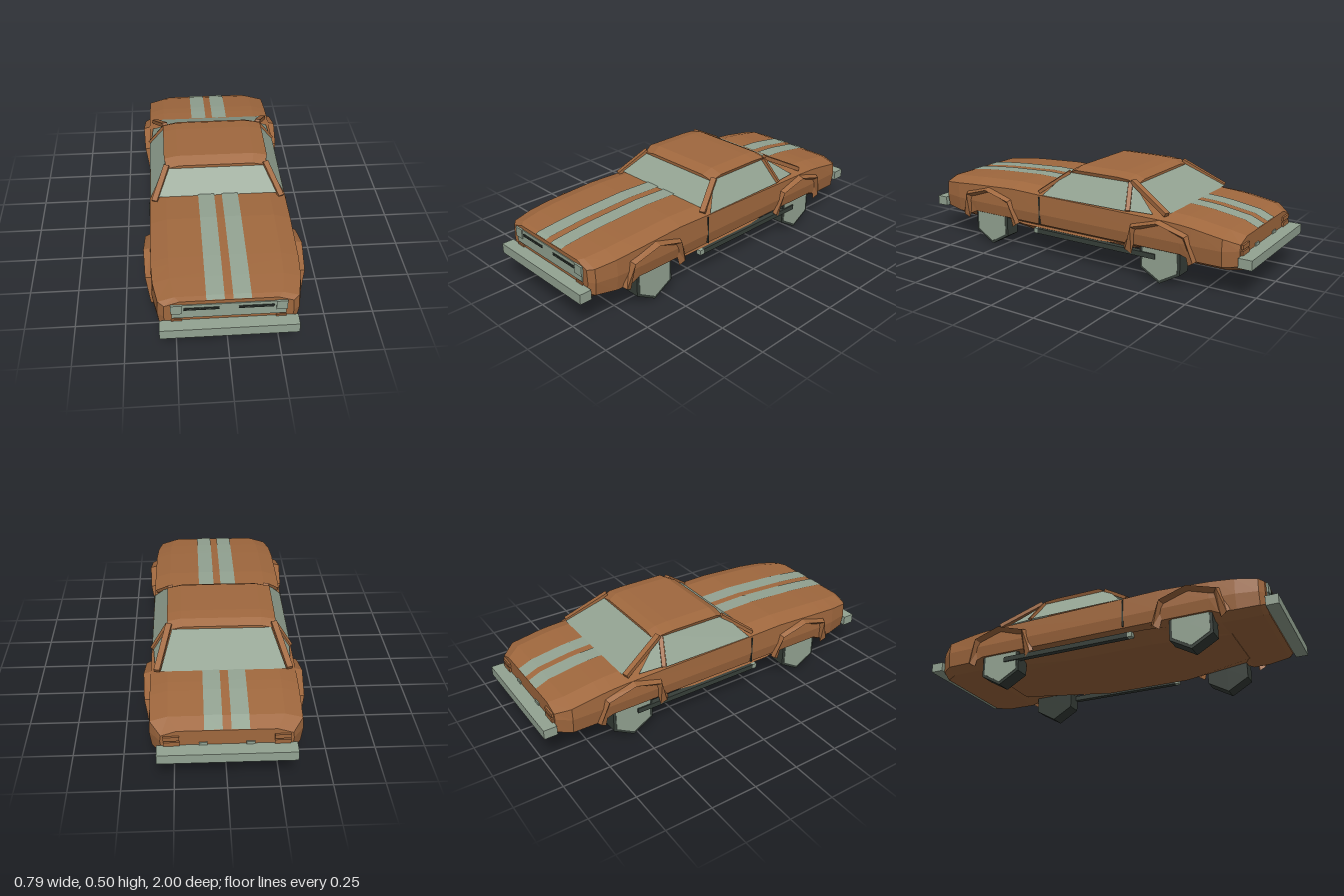
import * as THREE from 'three';

const mat = (name, color) =>
  Object.assign(new THREE.MeshStandardMaterial({ color, flatShading: true, side: THREE.DoubleSide }), { name });

export function createModel() {
  const car = new THREE.Group();
  car.name = 'car';
  const paint = mat('copperPaint', 0xa0683e);
  const pale = mat('paleGreyGreen', 0x93a392);
  const dark = mat('darkRubber', 0x373f39);

  const add = (name, geometry, material) => {
    const m = new THREE.Mesh(geometry, material);
    m.name = name;
    car.add(m);
    return m;
  };
  const build = (pos, idx) => {
    const g = new THREE.BufferGeometry();
    g.setAttribute('position', new THREE.Float32BufferAttribute(pos.flat(), 3));
    g.setIndex(idx);
    g.computeVertexNormals();
    return g;
  };
  // Box given by its min and max on each axis
  const box = (name, [x0, x1], [y0, y1], [z0, z1], material) =>
    add(name, new THREE.BoxGeometry(Math.abs(x1 - x0), y1 - y0, z1 - z0), material)
      .position.set((x0 + x1) / 2, (y0 + y1) / 2, (z0 + z1) / 2);
  // Symmetric loft: sections run back to front, half profiles run bottom to top
  const loft = (sections) => {
    const n = sections[0][1].length * 2, pos = [], idx = [];
    for (const [z, half] of sections) {
      half.forEach(([x, y]) => pos.push([x, y, z]));
      [...half].reverse().forEach(([x, y]) => pos.push([-x, y, z]));
    }
    const last = (sections.length - 1) * n;
    for (let r = 0; r < last; r += n) for (let j = 0; j < n; j++) {
      const a = r + j, b = r + (j + 1) % n;
      idx.push(a, b, b + n, a, b + n, a + n);
    }
    for (let j = 1; j < n - 1; j++) idx.push(0, j + 1, j, last, last + j, last + j + 1);
    return build(pos, idx);
  };
  // Open surface between successive lines of points
  const sheet = (lines) => {
    const n = lines[0].length, idx = [];
    for (let i = 0; i < lines.length - 1; i++) for (let j = 0; j < n - 1; j++) {
      const a = i * n + j;
      idx.push(a, a + 1, a + n + 1, a, a + n + 1, a + n);
    }
    return build(lines.flat(), idx);
  };
  const bar = (name, a, b, w, h, material) => {
    const p = new THREE.Vector3(...a), q = new THREE.Vector3(...b);
    const m = add(name, new THREE.BoxGeometry(w, h, p.distanceTo(q)), material);
    m.position.copy(p).lerp(q, 0.5);
    m.lookAt(q);
  };

  // Body shell: z, half width, top, bottom
  const stations = [
    [-0.93, 0.31, 0.295, 0.13], [-0.86, 0.362, 0.325, 0.13], [-0.7, 0.365, 0.35, 0.13],
    [-0.64, 0.365, 0.356, 0.15], [-0.56, 0.365, 0.36, 0.15], [0.2, 0.365, 0.37, 0.15],
    [0.4, 0.365, 0.375, 0.15], [0.67, 0.365, 0.361, 0.15], [0.71, 0.363, 0.358, 0.13],
    [0.8, 0.358, 0.35, 0.13], [0.91, 0.335, 0.337, 0.14], [0.935, 0.305, 0.33, 0.15],
  ];
  add('bodyShell', loft(stations.map(([z, w, t, b]) => [z,
    [[w * 0.82, b], [w * 0.97, b + 0.03], [w, 0.24], [w * 0.985, t - 0.025], [w * 0.75, t]]])), paint);

  // Underbody pan
  add('floorPan', loft([[-0.66, 0.13], [-0.15, 0.105], [0.33, 0.105], [0.72, 0.125]].map(([z, y], i) =>
    [z, [[i % 3 ? 0.26 : 0.16, y], [i % 3 ? 0.34 : 0.26, 0.155]]])), paint);

  // Roof
  add('roof', loft([
    [-0.345, 0.255, 0.46, 0.478], [-0.3, 0.27, 0.468, 0.5], [-0.23, 0.27, 0.468, 0.505],
    [0.03, 0.27, 0.468, 0.505], [0.085, 0.255, 0.462, 0.478],
  ].map(([z, w, b, t]) => [z, [[w, b], [w + 0.008, t - 0.015], [w * 0.76, t]]])), paint);

  // Windscreen and rear window
  add('windscreen', sheet([
    [[-0.312, 0.37, 0.21], [0.312, 0.37, 0.21]], [[-0.255, 0.466, 0.075], [0.255, 0.466, 0.075]],
  ]), pale);
  add('rearWindow', sheet([
    [[-0.25, 0.47, -0.335], [0.25, 0.47, -0.335]], [[-0.31, 0.361, -0.56], [0.31, 0.361, -0.56]],
  ]), pale);

  for (const s of [1, -1]) {
    // Side glass and pillars
    add('sideWindow', sheet([
      [[s * 0.358, 0.347, 0.19], [s * 0.358, 0.347, -0.33]],
      [[s * 0.272, 0.472, 0.08], [s * 0.272, 0.472, -0.295]],
    ]), pale);
    add('quarterWindow', sheet([
      [[s * 0.35, 0.35, -0.35], [s * 0.34, 0.35, -0.48]],
      [[s * 0.27, 0.468, -0.32], [s * 0.27, 0.462, -0.335]],
    ]), pale);
    bar('windscreenPillar', [s * 0.335, 0.357, 0.225], [s * 0.264, 0.474, 0.07], 0.03, 0.018, paint);
    bar('doorPillar', [s * 0.356, 0.35, -0.345], [s * 0.272, 0.475, -0.31], 0.022, 0.016, paint);
    bar('rearPillar', [s * 0.328, 0.358, -0.55], [s * 0.267, 0.48, -0.32], 0.03, 0.022, paint);

    // Racing stripes on bonnet and boot
    for (const [name, keep] of [['bonnetStripe', (z) => z >= 0.2], ['bootStripe', (z) => z <= -0.56]]) {
      const run = stations.filter(([z]) => keep(z));
      add(name, sheet([0.02, 0.105].map((x) => run.map(([z, , t]) => [s * x, t + 0.004, z]))), pale);
    }

    // Wheels and flared arches
    for (const z of [0.565, -0.525]) {
      for (const [name, r, w, x, m] of [['tyre', 0.13, 0.085, 0.3025, dark], ['hubcap', 0.113, 0.008, 0.344, pale]]) {
        const g = new THREE.CylinderGeometry(r, r, w, 6).rotateY(Math.PI / 6).rotateZ(Math.PI / 2);
        add(name, g, m).position.set(s * x, 0.13, z);
      }
      const ridge = [[-0.19, 0.15, 0.366], [-0.15, 0.28, 0.388], [0, 0.325, 0.395], [0.15, 0.28, 0.388], [0.19, 0.15, 0.366]];
      add('wheelArch', sheet([
        ridge.map(([d, y]) => [s * 0.352, y + 0.012, z + d * 1.08]),
        ridge.map(([d, y, x]) => [s * x, y, z + d]),
        ridge.map(([d, y]) => [s * 0.355, y - 0.02, z + d * 0.84]),
      ]), paint);
    }

    // Side pipe, door seam
    box('sidePipe', [s * 0.325, s * 0.355], [0.125, 0.152], [-0.5, 0.23], dark);
    box('sidePipeTip', [s * 0.325, s * 0.355], [0.125, 0.152], [0.23, 0.255], pale);
    box('doorSeam', [s * 0.355, s * 0.3665], [0.185, 0.335], [0.206, 0.212], dark);

    // Headlights, grille bars, indicators, tail lights
    box('headlight', [s * 0.22, s * 0.272], [0.26, 0.312], [0.93, 0.945], pale);
    for (const y of [0.282, 0.291]) box('grilleBar', [s * 0.045, s * 0.21], [y - 0.002, y + 0.002], [0.938, 0.944], dark);
    box('indicator', [s * 0.22, s * 0.27], [0.212, 0.222], [0.93, 0.942], paint);
    for (const y of [0.215, 0.245]) box('tailLight', [s * 0.22, s * 0.295], [y, y + 0.022], [-0.94, -0.925], paint);
    box('reverseLight', [s * 0.09, s * 0.13], [0.212, 0.228], [-0.936, -0.925], pale);
  }

  // Grille and bumpers
  box('grille', [-0.268, 0.268], [0.23, 0.31], [0.932, 0.94], pale);
  box('frontBumper', [-0.327, 0.327], [0.16, 0.212], [0.935, 1], pale);
  box('rearBumper', [-0.327, 0.327], [0.163, 0.213], [-1, -0.93], pale);

  return car;
}
